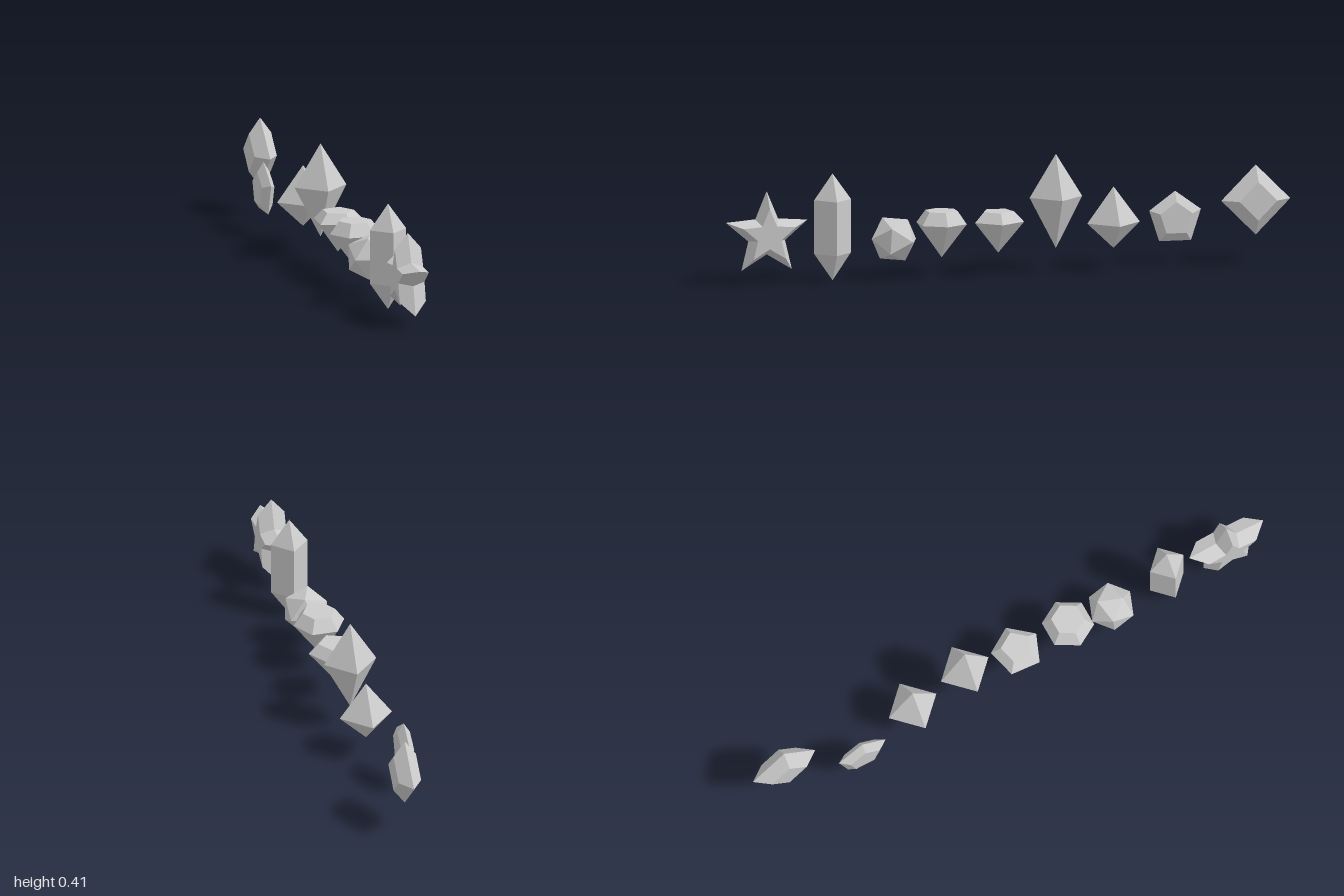
import * as THREE from 'three';

// Unit outline with n corners; an inner radius below 1 adds notches between them (a star)
function outline(n, turn = 0, inner = 0) {
  const count = inner ? n * 2 : n;
  return Array.from({ length: count }, (_, i) => {
    const a = turn + (i / count) * Math.PI * 2;
    const r = inner && i % 2 ? inner : 1;
    return [r * Math.cos(a), -r * Math.sin(a)];
  });
}

// Stacks scaled copies of an outline along y; rings are [radius, height] from bottom to top
function stack(points, rings) {
  const all = [[0, rings[0][1]], ...rings, [0, rings.at(-1)[1]]];
  const pos = [];
  const corner = ([r, h], i) => {
    const [x, z] = points[i % points.length];
    return [x * r, h, z * r];
  };
  for (let k = 0; k < all.length - 1; k++) {
    const lo = all[k], hi = all[k + 1];
    if (lo[0] === 0 && hi[0] === 0) continue;
    for (let i = 0; i < points.length; i++) {
      const a = corner(lo, i), b = corner(lo, i + 1);
      const c = corner(hi, i + 1), d = corner(hi, i);
      if (lo[0] > 0) pos.push(...a, ...b, ...c);
      if (hi[0] > 0) pos.push(...a, ...c, ...d);
    }
  }
  const g = new THREE.BufferGeometry();
  g.setAttribute('position', new THREE.Float32BufferAttribute(pos, 3));
  g.computeVertexNormals();
  return g;
}

// Bevelled flat gem facing sideways along x, first corner pointing up
function plate(points, radius, inset, halfDepth) {
  return stack(points, [[inset, -halfDepth], [radius, 0], [inset, halfDepth]]).rotateZ(-Math.PI / 2);
}

// Twenty-sided gem with a flat face towards +x
function icosaGem(radius) {
  const t = (1 + Math.sqrt(5)) / 2;
  const e1 = new THREE.Vector3(1, 1, 1).normalize();
  const e2 = new THREE.Vector3(1, t, 0).projectOnPlane(e1).normalize();
  const e3 = e1.clone().cross(e2);
  const toFace = new THREE.Matrix4().makeBasis(e1, e2, e3).invert();
  return new THREE.IcosahedronGeometry(radius, 0).applyMatrix4(toFace).rotateX(Math.PI / 6 - 0.06);
}

export function createModel() {
  const group = new THREE.Group();
  const material = new THREE.MeshStandardMaterial({ color: 0xcccccc, flatShading: true });
  const add = (name, geometry, x, y, z) => {
    const mesh = new THREE.Mesh(geometry, material);
    mesh.name = name;
    mesh.position.set(x, y, z);
    group.add(mesh);
  };
  const square = outline(4);

  // Row of gems from front to back
  add('starGem', plate(outline(5, Math.PI, 0.45), 0.152, 0.097, 0.047), 0, 0.168, 0.855);
  add('pointedCrystal', stack(square, [[0, 0], [0.065, 0.094], [0.065, 0.281], [0, 0.372]]), 0, 0, 0.622);
  add('icosahedronGem', icosaGem(0.084), 0, 0.135, 0.405);
  add('hexagonCutGem', stack(outline(6), [[0, 0.064], [0.09, 0.183], [0.058, 0.227]]), 0, 0, 0.236);
  add('pentagonCutGem', stack(outline(5, -0.07), [[0, 0.072], [0.09, 0.182], [0.056, 0.217]]), 0, 0, 0.036);
  add('tallDiamond', stack(square, [[0, 0.08], [0.093, 0.258], [0, 0.408]]), 0, 0, -0.168);
  add('shortDiamond', stack(square, [[0, 0.072], [0.093, 0.16], [0, 0.286]]), 0, 0, -0.372);
  add('pentagonPlate', plate(outline(5, Math.PI), 0.096, 0.06, 0.022), -0.07, 0.154, -0.607);
  add('squarePlate', plate(square, 0.122, 0.067, 0.04), 0, 0.22, -0.875);

  return group;
}
